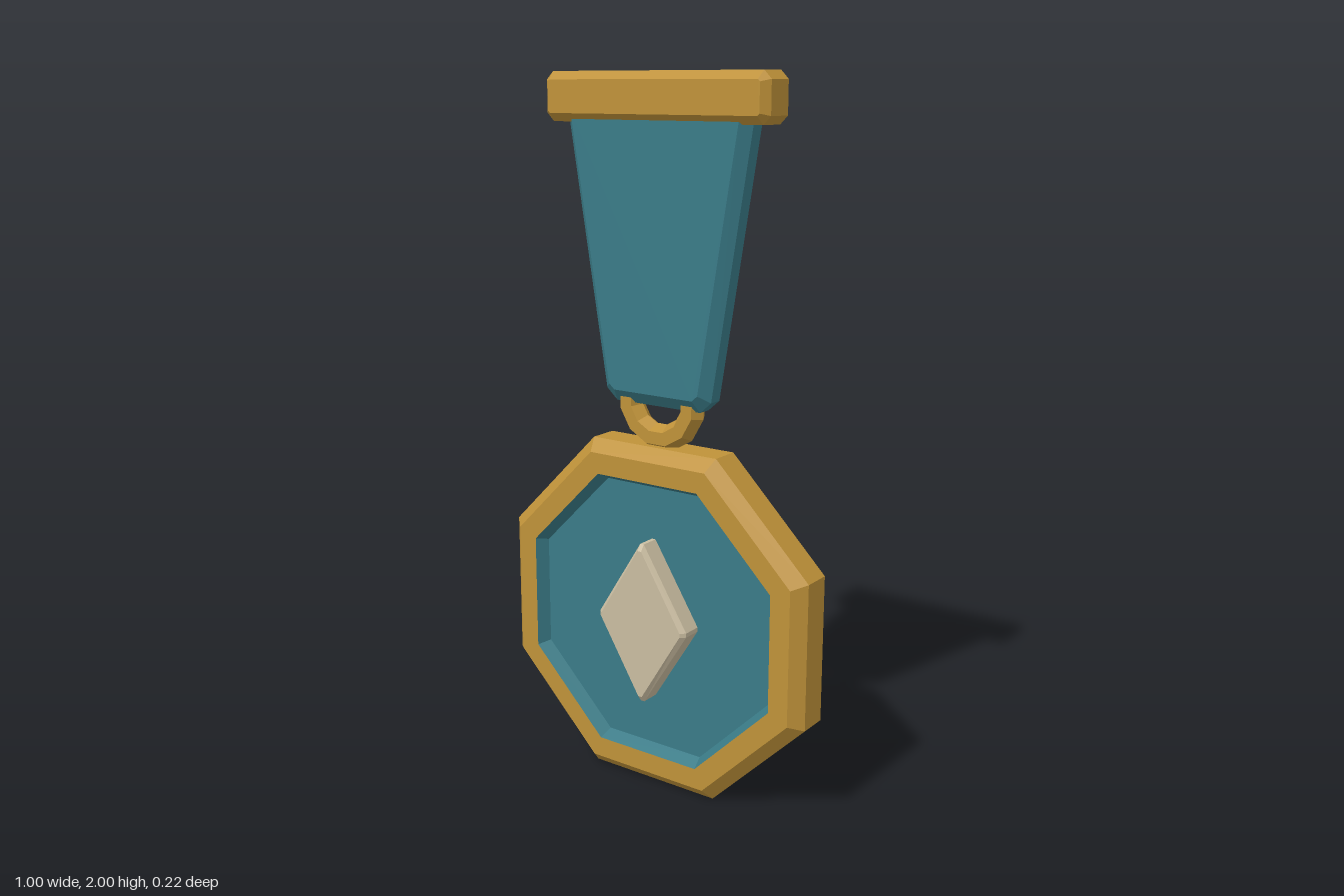
import * as THREE from 'three';

const gold = new THREE.MeshStandardMaterial({ color: 0xbf9239 });
gold.name = 'gold';
const teal = new THREE.MeshStandardMaterial({ color: 0x3a7b87 });
teal.name = 'teal';
const silver = new THREE.MeshStandardMaterial({ color: 0xc9bca0 });
silver.name = 'pale silver';

// Joins convex counter-clockwise rings { pts, z } into a faceted surface.
function loft(rings, capStart = true, capEnd = true) {
  const pos = [];
  const put = (ring, i) => {
    const p = ring.pts[i % ring.pts.length];
    pos.push(p[0], p[1], ring.z);
  };
  const n = rings[0].pts.length;
  for (let r = 0; r < rings.length - 1; r++) {
    const a = rings[r], b = rings[r + 1];
    for (let i = 0; i < n; i++) {
      put(a, i); put(a, i + 1); put(b, i + 1);
      put(a, i); put(b, i + 1); put(b, i);
    }
  }
  const first = rings[0], last = rings[rings.length - 1];
  for (let i = 1; i < n - 1; i++) {
    if (capStart) { put(first, 0); put(first, i + 1); put(first, i); }
    if (capEnd) { put(last, 0); put(last, i); put(last, i + 1); }
  }
  const geo = new THREE.BufferGeometry();
  geo.setAttribute('position', new THREE.Float32BufferAttribute(pos, 3));
  geo.computeVertexNormals();
  return geo;
}

// Completes a right-hand outline, listed bottom to top, with its mirror image.
const mirror = (right) => [...right, ...right.map(([x, y]) => [-x, y]).reverse()];

// Octagon with flat top and bottom, given its centre-to-side distance.
function octagon(apothem) {
  const radius = apothem / Math.cos(Math.PI / 8);
  return Array.from({ length: 8 }, (_, i) => {
    const a = (i + 0.5) * Math.PI / 4;
    return [radius * Math.cos(a), 0.5 + radius * Math.sin(a)];
  });
}

// Rectangle with cut corners.
const cutRect = (w, y0, y1, c) =>
  mirror([[w - c, y0], [w, y0 + c], [w, y1 - c], [w - c, y1]]);

// Rhombus with slightly blunt tips.
const rhombus = (w, h) =>
  mirror([[0.006, 0.5 - h], [w, 0.494], [w, 0.506], [0.006, 0.5 + h]]);

// Bevelled slab, symmetric front to back.
const slab = (outer, inner, edgeZ, faceZ) => loft([
  { pts: inner, z: -faceZ }, { pts: outer, z: -edgeZ },
  { pts: outer, z: edgeZ }, { pts: inner, z: faceZ },
]);

export function createModel() {
  const model = new THREE.Group();
  model.name = 'medal';
  const add = (name, geo, mat) => {
    const mesh = new THREE.Mesh(geo, mat);
    mesh.name = name;
    model.add(mesh);
    return mesh;
  };

  // Octagonal frame, open in the middle
  const frame = [[0.405, -0.077], [0.465, -0.077], [0.5, -0.042],
    [0.5, 0.042], [0.465, 0.077], [0.405, 0.077]];
  add('medalFrame', loft(frame.map(([a, z]) => ({ pts: octagon(a), z })), false, false), gold);

  // Sunken panels on both faces
  const rim = octagon(0.405), floor = octagon(0.386);
  add('frontPanel', loft([{ pts: rim, z: 0.077 }, { pts: floor, z: 0.04 }], false, true), teal);
  add('backPanel', loft([{ pts: floor, z: -0.04 }, { pts: rim, z: -0.077 }], true, false), teal);

  // Diamond emblem passing through both faces
  add('diamond', slab(rhombus(0.15, 0.235), rhombus(0.136, 0.217), 0.095, 0.108), silver);

  // Hanging ring
  const ringGeo = new THREE.TorusGeometry(0.105, 0.037, 6, 12).toNonIndexed();
  ringGeo.computeVertexNormals();
  const ring = add('hangingRing', ringGeo, gold);
  ring.position.y = 1.125;
  ring.rotation.z = Math.PI / 12;

  // Tapered ribbon
  add('ribbon', slab(
    mirror([[0.14, 1.112], [0.175, 1.143], [0.3, 1.9]]),
    mirror([[0.13, 1.147], [0.148, 1.163], [0.272, 1.9]]),
    0.02, 0.047), teal);

  // Top bar
  add('topBar', slab(
    cutRect(0.357, 1.868, 2, 0.022),
    cutRect(0.337, 1.89, 1.978, 0.006),
    0.04, 0.062), gold);

  return model;
}
